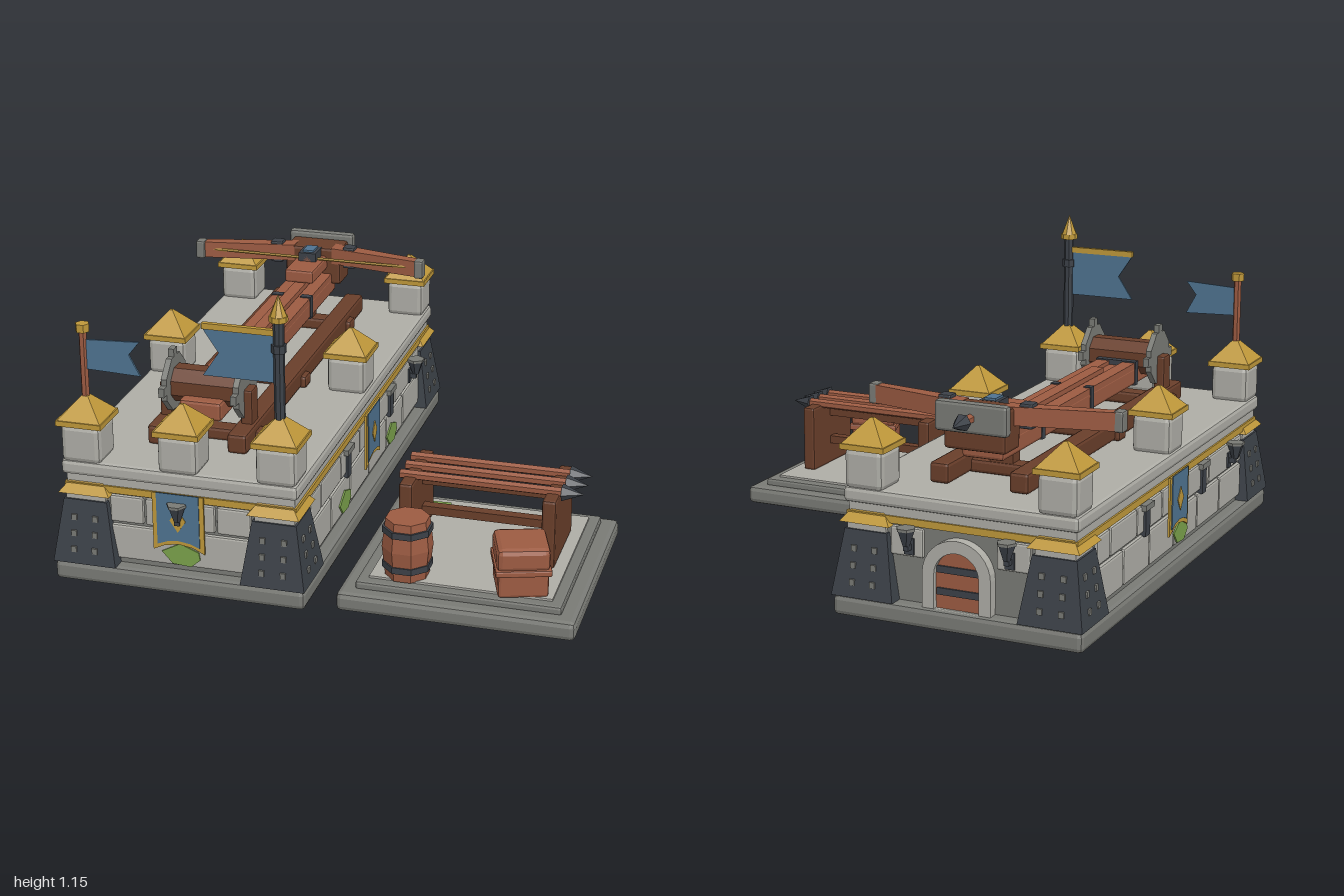
import * as THREE from 'three';
import { RoundedBoxGeometry } from 'three/addons/geometries/RoundedBoxGeometry.js';

const material = (name, color, side = THREE.FrontSide) =>
  Object.assign(new THREE.MeshStandardMaterial({ color, side }), { name });

export function createModel() {
  const M = {
    stone: material('lightStone', 0xaeada6),
    grey: material('greyStone', 0x797a75),
    iron: material('darkIron', 0x3c4148),
    gold: material('gold', 0xbf983a),
    blue: material('blueCloth', 0x4f7390, THREE.DoubleSide),
    wood: material('lightWood', 0x9c5b42),
    dark: material('darkWood', 0x693e2a),
    moss: material('moss', 0x7ba24b),
  };
  const root = new THREE.Group();
  root.name = 'siegeCrossbowPlatform';
  const CX = -0.478;

  // ---- helpers ----
  const flat = (g) => {
    const f = g.index ? g.toNonIndexed() : g;
    f.computeVertexNormals();
    return f;
  };
  const add = (name, geo, mat, x = 0, y = 0, z = 0, parent = root) => {
    const m = new THREE.Mesh(flat(geo), mat);
    m.name = name;
    m.position.set(x, y, z);
    parent.add(m);
    return m;
  };
  const group = (name, x, y, z, parent = root) => {
    const g = new THREE.Group();
    g.name = name;
    g.position.set(x, y, z);
    parent.add(g);
    return g;
  };
  const box = (w, h, d, bevel = 0) =>
    bevel ? new RoundedBoxGeometry(w, h, d, 1, bevel) : new THREE.BoxGeometry(w, h, d);
  // chamfered box given by its extents
  const block = (name, mat, x0, x1, y0, y1, z0, z1, bevel = 0, parent = root) =>
    add(name, box(x1 - x0, y1 - y0, z1 - z0, bevel), mat, (x0 + x1) / 2, (y0 + y1) / 2, (z0 + z1) / 2, parent);
  // square frustum standing upright
  const frustum = (top, bottom, h) =>
    new THREE.CylinderGeometry(top / Math.SQRT2, bottom / Math.SQRT2, h, 4).rotateY(Math.PI / 4);
  const drum = (r, h, n = 8, r2 = r) => new THREE.CylinderGeometry(r, r2, h, n).rotateY(Math.PI / n);
  const plate = (points, depth) =>
    new THREE.ExtrudeGeometry(new THREE.Shape(points.map((p) => new THREE.Vector2(...p))), { depth, bevelEnabled: false });

  // ---- platform ----
  block('plinth', M.grey, CX - 0.475, CX + 0.475, 0, 0.075, -0.975, 0.975, 0.018);
  block('wallCore', M.grey, CX - 0.425, CX + 0.425, 0.07, 0.39, -0.92, 0.92);
  block('goldTrim', M.gold, CX - 0.437, CX + 0.437, 0.352, 0.378, -0.932, 0.932);
  block('cornice', M.stone, CX - 0.43, CX + 0.43, 0.378, 0.415, -0.925, 0.925);
  block('deck', M.stone, CX - 0.445, CX + 0.445, 0.41, 0.467, -0.943, 0.943, 0.015);

  // ---- wall faces: local +z points outwards ----
  const sconce = (g, x) => {
    const s = group('sconce', x, 0, 0, g);
    block('wallPlate', M.iron, -0.018, 0.018, 0.25, 0.31, 0, 0.02, 0, s);
    block('arm', M.iron, -0.01, 0.01, 0.27, 0.29, 0, 0.045, 0, s);
    add('cup', drum(0.034, 0.06, 6, 0.013), M.iron, 0, 0.318, 0.042, s);
    add('rim', drum(0.036, 0.01, 6), M.grey, 0, 0.35, 0.042, s);
  };
  const banner = (g) => {
    const b = group('banner', 0, 0, 0.022, g);
    const tail = (w, top, low, mid) => [[-w, top], [-w, low], [-w * 0.55, low + (mid - low) * 0.7], [0, mid], [w * 0.55, low + (mid - low) * 0.7], [w, low], [w, top]];
    add('bannerBorder', plate(tail(0.097, 0.385, 0.16, 0.19), 0.008), M.gold, 0, 0, 0, b);
    add('bannerCloth', plate(tail(0.08, 0.388, 0.185, 0.205), 0.004), M.blue, 0, 0, 0.008, b);
    add('bannerDiamond', plate([[0, 0.24], [0.03, 0.285], [0, 0.33], [-0.03, 0.285]], 0.003), M.gold, 0, 0, 0.012, b);
  };
  const mossPatch = (g, x) =>
    add('mossPatch', plate([[-0.07, 0.15], [-0.03, 0.105], [0.04, 0.1], [0.075, 0.13], [0.07, 0.16], [0, 0.187]], 0.006), M.moss, x, 0, 0.014, g);
  const bracket = (g, x) => {
    block('bracketStem', M.iron, x - 0.022, x + 0.022, 0.225, 0.325, 0, 0.022, 0, g);
    block('bracketCap', M.grey, x - 0.042, x + 0.042, 0.325, 0.347, 0, 0.03, 0, g);
  };
  const wall = (name, x, z, turn, half, gap = 0) => {
    const g = group(name, x, 0, z);
    g.rotation.y = turn;
    const n = Math.round((2 * half) / 0.24);
    const w = (2 * half) / n;
    [[0.095, 0.23, 0], [0.24, 0.345, 0.5]].forEach(([y0, y1, shift]) => {
      for (let i = 0; i < n + shift * 2; i++) {
        const a = Math.max(-half, -half + (i - shift) * w);
        const b = Math.min(half, -half + (i + 1 - shift) * w);
        if (gap && a < gap && b > -gap) continue;
        block('wallBlock', M.stone, a + 0.004, b - 0.004, y0, y1, -0.02, 0.013, 0.008, g);
      }
    });
    return g;
  };
  const front = wall('frontWall', CX, 0.92, 0, 0.27);
  banner(front);
  sconce(front, 0);
  mossPatch(front, 0);
  const sides = [wall('leftWall', CX + 0.425, 0, Math.PI / 2, 0.76), wall('rightWall', CX - 0.425, 0, -Math.PI / 2, 0.76)];
  sides.forEach((g, i) => {
    banner(g);
    sconce(g, 0.6);
    [-0.3, 0.3].forEach((x) => bracket(g, x));
    (i ? [0.05] : [-0.35, 0.31]).forEach((x) => mossPatch(g, x));
  });

  // ---- back wall with arched door ----
  const back = wall('backWall', CX, -0.92, Math.PI, 0.27, 0.1);
  const archShape = (r) => {
    const s = new THREE.Shape();
    s.moveTo(-r, 0.075);
    s.lineTo(r, 0.075);
    s.lineTo(r, 0.2);
    s.absarc(0, 0.2, r, 0, Math.PI, false);
    s.closePath();
    return s;
  };
  const arch = archShape(0.13);
  arch.holes.push(archShape(0.085));
  add('doorArch', new THREE.ExtrudeGeometry(arch, { depth: 0.04, bevelEnabled: false, curveSegments: 8 }), M.stone, 0, 0, 0, back);
  add('door', new THREE.ExtrudeGeometry(archShape(0.086), { depth: 0.02, bevelEnabled: false, curveSegments: 8 }), M.wood, 0, 0, 0, back);
  [0.125, 0.205].forEach((y) => block('doorStrap', M.iron, -0.08, 0.08, y, y + 0.025, 0.018, 0.027, 0, back));
  [-0.19, 0.19].forEach((x) => sconce(back, x));

  // ---- corner buttresses and deck turrets ----
  const turret = (x, z) => {
    const t = group('turret', x, 0, z);
    block('turretBlock', M.stone, -0.075, 0.075, 0.46, 0.605, -0.075, 0.075, 0.02, t);
    add('turretEave', frustum(0.172, 0.172, 0.02), M.gold, 0, 0.612, 0, t);
    add('turretRoof', frustum(0.012, 0.165, 0.085), M.gold, 0, 0.663, 0, t);
  };
  for (const sx of [-1, 1]) {
    for (const sz of [-1, 0, 1]) turret(CX + sx * 0.365, sz * 0.87);
    for (const sz of [-1, 1]) {
      const b = group('buttress', CX + sx * 0.357, 0, sz * 0.86);
      add('buttressBody', frustum(0.165, 0.24, 0.24), M.iron, 0, 0.195, 0, b);
      add('buttressCollar', frustum(0.15, 0.15, 0.035), M.stone, 0, 0.325, 0, b);
      add('buttressCap', frustum(0.13, 0.195, 0.04), M.gold, 0, 0.362, 0, b);
      // studs on the two outward faces
      for (const y of [0.13, 0.19, 0.25]) {
        const out = 0.12 - (y - 0.075) * 0.156;
        for (const k of [-0.04, 0.04]) {
          add('stud', box(0.02, 0.022, 0.012), M.grey, k, y, sz * out, b);
          add('stud', box(0.012, 0.022, 0.02), M.grey, sx * out, y, k, b);
        }
      }
    }
  }
  turret(CX, 0.87);

  // ---- flags ----
  const small = group('smallFlag', -0.843, 0, 0.87);
  add('smallPole', drum(0.015, 0.27, 6), M.wood, 0, 0.815, 0, small);
  add('smallPoleCap', drum(0.026, 0.03, 6), M.gold, 0, 0.957, 0, small);
  add('smallCloth', plate([[0.01, 0.8], [0.213, 0.793], [0.172, 0.87], [0.213, 0.922], [0.01, 0.912]], 0.008), M.blue, 0, 0, -0.004, small);
  const tall = group('tallFlag', -0.115, 0, 0.87);
  add('tallPole', drum(0.02, 0.38, 8), M.iron, 0, 0.87, 0, tall);
  add('poleRing', drum(0.027, 0.03, 8), M.iron, 0, 0.955, 0, tall);
  add('finialBase', drum(0.034, 0.02, 8), M.gold, 0, 1.065, 0, tall);
  add('finial', new THREE.ConeGeometry(0.032, 0.08, 8), M.gold, 0, 1.113, 0, tall);
  add('tallCloth', plate([[-0.01, 0.825], [-0.01, 1.005], [-0.28, 1.005], [-0.22, 0.915], [-0.28, 0.825]], 0.008), M.blue, 0, 0, -0.004, tall);
  block('flagBar', M.gold, -0.28, -0.01, 1.0, 1.022, -0.009, 0.009, 0, tall);

  // ---- crossbow: frame and stock ----
  const bow = group('crossbow', CX, 0, 0);
  for (const s of [-1, 1]) {
    add('frameRail', box(0.075, 0.075, 1.52, 0.012), M.dark, s * 0.152, 0.507, -0.022, bow);
    add('winchPost', box(0.045, 0.2, 0.07, 0.008), M.dark, s * 0.155, 0.575, 0.595, bow);
    // winch gears
    const gear = group('winchGear', s * 0.137, 0.667, 0.59, bow);
    add('gearDisc', drum(0.108, 0.022).rotateZ(Math.PI / 2), M.grey, 0, 0, 0, gear);
    for (let i = 0; i < 4; i++) {
      const a = (i * Math.PI) / 2;
      add('gearTooth', box(0.022, 0.035, 0.035), M.grey, 0, Math.cos(a) * 0.112, Math.sin(a) * 0.112, gear);
    }
    add('stockBand', box(0.045, 0.092, 0.03), M.iron, s * 0.06, 0.613, -0.405, bow);
    add('stockBand', box(0.03, 0.092, 0.03), M.iron, s * 0.068, 0.613, 0.05, bow);
    // bow arms, swept back towards the tips
    const arm = new THREE.Shape([[0.08, -0.755], [0.47, -0.665], [0.47, -0.625], [0.08, -0.69]].map(([x, z]) => new THREE.Vector2(s * x, -z)));
    add('bowArm', new THREE.ExtrudeGeometry(arm, { depth: 0.066, bevelEnabled: false }).rotateX(-Math.PI / 2), M.wood, 0, 0.7, 0, bow);
    add('bowTip', box(0.038, 0.076, 0.05, 0.008), M.grey, s * 0.468, 0.733, -0.643, bow);
    add('bowClamp', box(0.05, 0.09, 0.05, 0.006), M.iron, s * 0.155, 0.733, -0.707, bow);
  }
  [-0.56, 0.05, 0.6].forEach((z) => add('crossBeam', box(0.42, 0.05, 0.07, 0.012), M.dark, 0, 0.492, z, bow));
  [-0.56, 0.05].forEach((z) => add('stockSupport', box(0.09, 0.08, 0.06), M.dark, 0, 0.54, z, bow));
  block('stock', M.wood, -0.08, 0.08, 0.567, 0.64, -0.75, 0.695, 0.012, bow);
  for (const s of [-1, 1]) block('stockCheek', M.wood, s * 0.053 - 0.026, s * 0.053 + 0.026, 0.63, 0.655, -0.75, 0.5, 0, bow);
  block('boltGuide', M.wood, -0.024, 0.024, 0.63, 0.672, -0.7, 0.305, 0, bow);
  block('rearBand', M.iron, -0.083, 0.083, 0.565, 0.66, 0.49, 0.52, 0, bow);
  add('winchDrum', drum(0.07, 0.25).rotateZ(Math.PI / 2), M.dark, 0, 0.662, 0.587, bow);
  // prow, trigger and string
  block('prow', M.dark, -0.118, 0.118, 0.61, 0.765, -0.815, -0.69, 0.012, bow);
  block('prowPlate', M.grey, -0.138, 0.138, 0.68, 0.79, -0.85, -0.81, 0.012, bow);
  block('carriage', M.wood, -0.06, 0.06, 0.675, 0.73, -0.7, -0.495, 0.01, bow);
  block('triggerBlock', M.iron, -0.036, 0.036, 0.725, 0.765, -0.7, -0.61, 0, bow);
  block('triggerPlate', M.blue, -0.022, 0.022, 0.765, 0.773, -0.69, -0.625, 0, bow);
  add('bowString', new THREE.CylinderGeometry(0.006, 0.006, 0.93, 6).rotateZ(Math.PI / 2), M.gold, 0, 0.735, -0.64, bow);

  // bolt pointing along local +x
  const bolt = (name, length, x, y, z, turn, parent) => {
    const b = group(name, x, y, z, parent);
    b.rotation.y = turn;
    add('boltShaft', drum(0.018, length, 6).rotateZ(Math.PI / 2), M.wood, length / 2, 0, 0, b);
    add('boltHead', new THREE.ConeGeometry(0.032, 0.08, 6).rotateZ(-Math.PI / 2), M.iron, length + 0.038, 0, 0, b);
  };
  bolt('loadedBolt', 0.3, 0, 0.736, -0.61, Math.PI / 2, bow);

  // ---- supply pallet ----
  block('supplyPlinth', M.grey, 0.1, 0.965, 0, 0.072, 0.075, 0.94, 0.02);
  block('supplyBorder', M.grey, 0.158, 0.905, 0.065, 0.1, 0.125, 0.885, 0.01);
  block('supplyFloor', M.stone, 0.2, 0.865, 0.08, 0.108, 0.165, 0.845);
  add('floorMoss', plate([[0.225, -0.28], [0.33, -0.27], [0.35, -0.235], [0.34, -0.195], [0.245, -0.2]], 0.006).rotateX(-Math.PI / 2), M.moss, 0, 0.107, 0);

  // bolt rack
  const rack = group('boltRack', 0, 0, 0);
  for (const x of [0.27, 0.797]) block('rackPanel', M.dark, x - 0.026, x + 0.026, 0.105, 0.37, 0.292, 0.615, 0.01, rack);
  block('rackStretcher', M.dark, 0.27, 0.8, 0.19, 0.222, 0.43, 0.47, 0, rack);
  block('rackTopRail', M.dark, 0.27, 0.8, 0.31, 0.338, 0.43, 0.47, 0, rack);
  for (const z of [0.373, 0.452, 0.532]) bolt('spareBolt', 0.6, 0.23, 0.373, z, 0, rack);

  // barrel and crate
  const barrel = group('barrel', 0.325, 0, 0.785);
  const staves = [[0, 0.105], [0.08, 0.105], [0.093, 0.22], [0.08, 0.33], [0, 0.33]].map((p) => new THREE.Vector2(...p));
  add('barrelBody', new THREE.LatheGeometry(staves, 8).rotateY(Math.PI / 8), M.wood, 0, 0, 0, barrel);
  [0.152, 0.288].forEach((y) => add('barrelHoop', drum(0.092, 0.024), M.iron, 0, y, 0, barrel));
  const crate = group('crate', 0.735, 0, 0.775);
  crate.rotation.y = 0.32;
  block('crateBody', M.wood, -0.09, 0.09, 0.105, 0.205, -0.09, 0.09, 0.012, crate);
  block('crateRim', M.wood, -0.1, 0.1, 0.19, 0.215, -0.1, 0.1, 0.006, crate);
  block('crateLid', M.wood, -0.095, 0.095, 0.205, 0.293, -0.095, 0.095, 0.02, crate);

  return root;
}
